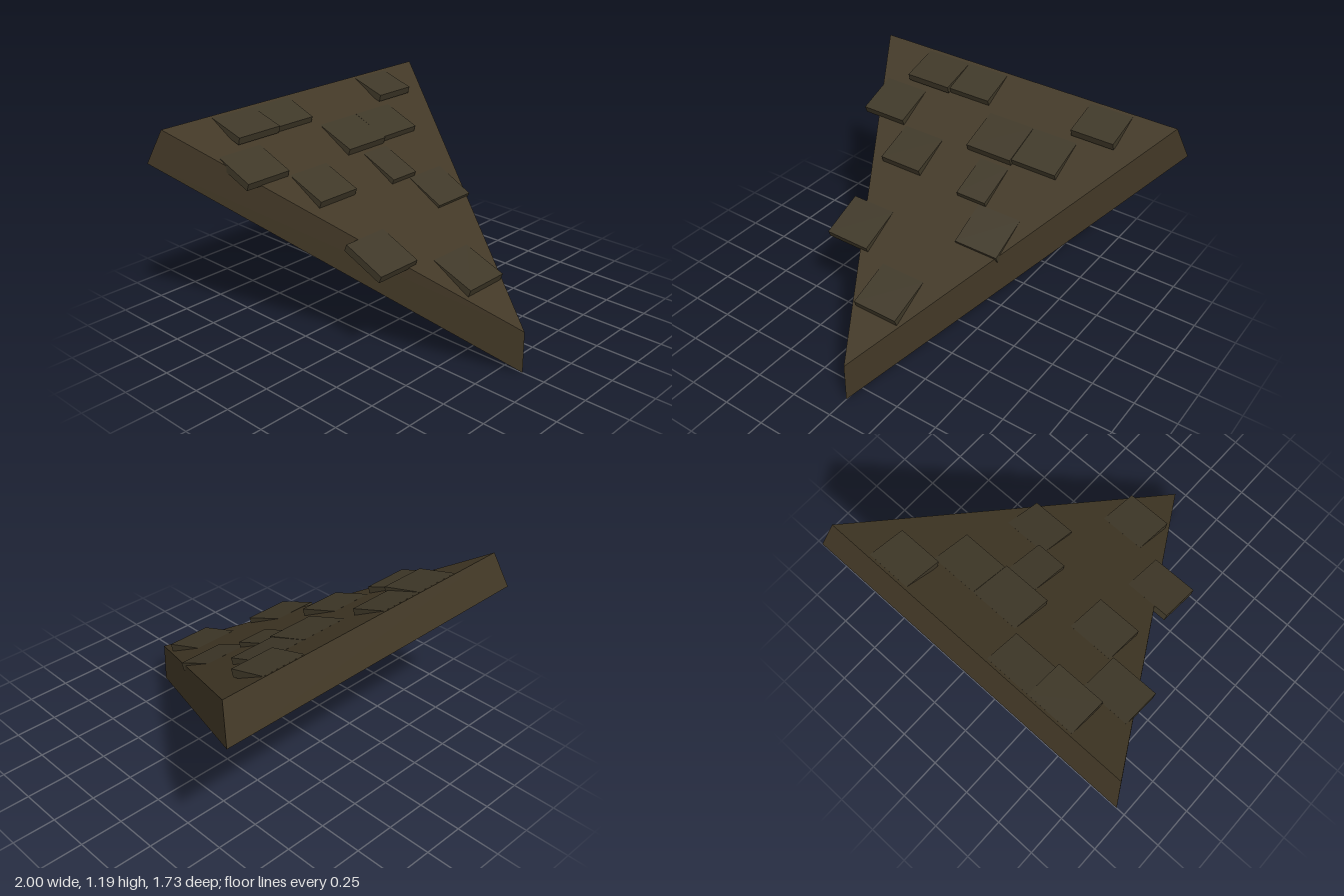
import * as THREE from 'three';

const wood = new THREE.MeshStandardMaterial({ color: 0x413725 });
wood.name = 'dark brown roof';
const shingleBrown = new THREE.MeshStandardMaterial({ color: 0x3f3828 });
shingleBrown.name = 'dark brown shingle';

// Height of the sloping top face at depth z
const roofY = (z) => 0.24 + (0.865 - z) * 0.576;

// Wedge-shaped triangular slab: lower and upper triangles joined by quads
function slabGeometry() {
  const low = [[0, 0, 0.865], [1, 1, -0.865], [-1, 1, -0.865]];
  const top = [[0, 0.24, 0.865], [0.95, 1.19, -0.785], [-0.95, 1.19, -0.785]];
  const points = [...top, low[0], low[2], low[1]];
  for (let i = 0; i < 3; i++) {
    const j = (i + 1) % 3;
    points.push(low[i], low[j], top[j], low[i], top[j], top[i]);
  }
  const geometry = new THREE.BufferGeometry();
  geometry.setAttribute('position', new THREE.Float32BufferAttribute(points.flat(), 3));
  geometry.computeVertexNormals();
  return geometry;
}

// Tilted shingle: its back edge meets the roof, its front edge is raised
function shingle(x0, x1, zBack, zFront, yFront) {
  const thickness = 0.042;
  const rise = roofY(zBack) - yFront;
  const run = zFront - zBack;
  const tilt = Math.atan2(rise, run);
  const geometry = new THREE.BoxGeometry(x1 - x0, thickness, Math.hypot(rise, run));
  geometry.translate(0, -thickness / 2, 0);
  const mesh = new THREE.Mesh(geometry, shingleBrown);
  mesh.rotation.x = tilt;
  mesh.position.set((x0 + x1) / 2, yFront + rise / 2, (zBack + zFront) / 2);
  return mesh;
}

export function createModel() {
  const model = new THREE.Group();
  model.name = 'roofCorner';

  const slab = new THREE.Mesh(slabGeometry(), wood);
  slab.name = 'roofSlab';
  model.add(slab);

  // Scattered shingles: left x, right x, back z, front z, front top height
  const shingles = new THREE.Group();
  shingles.name = 'shingles';
  [
    [-0.635, -0.355, -0.77, -0.55, 1.12],
    [-0.355, -0.095, -0.77, -0.572, 1.108],
    [0.445, 0.7, -0.77, -0.56, 1.117],
    [-0.78, -0.505, -0.545, -0.317, 0.963],
    [-0.06, 0.223, -0.55, -0.315, 0.965],
    [0.225, 0.495, -0.55, -0.327, 0.967],
    [-0.49, -0.23, -0.33, -0.098, 0.84],
    [0.04, 0.222, -0.31, -0.08, 0.818],
    [0.18, 0.44, -0.09, 0.133, 0.682],
    [-0.52, -0.25, 0.11, 0.352, 0.572],
    [-0.13, 0.14, 0.36, 0.61, 0.438],
  ].forEach((spec, i) => {
    const tile = shingle(...spec);
    tile.name = `shingle${i + 1}`;
    shingles.add(tile);
  });
  model.add(shingles);
  return model;
}
